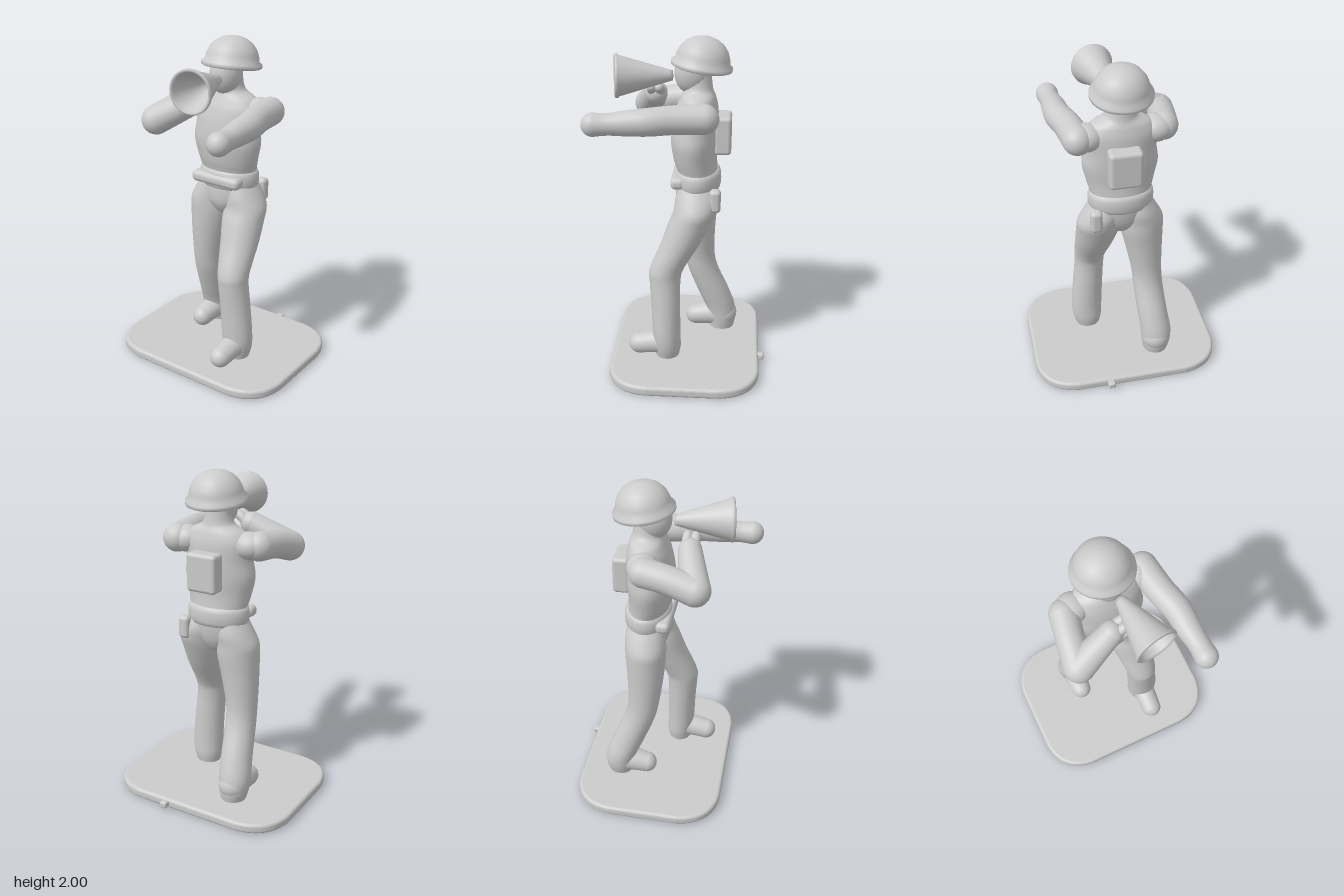
import * as THREE from 'three';
import { RoundedBoxGeometry } from 'three/addons/geometries/RoundedBoxGeometry.js';

const mat = new THREE.MeshStandardMaterial({ color: 0xcccccc });
const matDouble = new THREE.MeshStandardMaterial({ color: 0xcccccc, side: THREE.DoubleSide });

// Skin over rings of vertices; ring(u) gives centre and two radius vectors
function skin(ring, rows, cols = 28) {
  const pos = [], idx = [];
  for (let i = 0; i <= rows; i++) {
    const { c, a, b } = ring(i / rows);
    for (let j = 0; j < cols; j++) {
      const t = (j / cols) * Math.PI * 2;
      const p = c.clone().addScaledVector(a, Math.cos(t)).addScaledVector(b, Math.sin(t));
      pos.push(p.x, p.y, p.z);
      if (i < rows) {
        const k = i * cols + j, n = i * cols + (j + 1) % cols;
        idx.push(k, n, k + cols, n, n + cols, k + cols);
      }
    }
  }
  const g = new THREE.BufferGeometry();
  g.setAttribute('position', new THREE.Float32BufferAttribute(pos, 3));
  g.setIndex(idx);
  g.computeVertexNormals();
  return g;
}

// Horizontal elliptical sections [x, y, z, rx, rz], from the bottom up
function loft(sections) {
  const centre = new THREE.CatmullRomCurve3(sections.map(s => new THREE.Vector3(s[0], s[1], s[2])));
  const radii = new THREE.CatmullRomCurve3(sections.map(s => new THREE.Vector3(s[3], s[1], s[4])));
  return skin(u => {
    const r = radii.getPoint(u);
    return { c: centre.getPoint(u), a: new THREE.Vector3(r.x, 0, 0), b: new THREE.Vector3(0, 0, -r.z) };
  }, (sections.length - 1) * 5);
}

// Round limb through [x, y, z, radius] with ball ends
function limb(name, pts) {
  const group = new THREE.Group();
  group.name = name;
  const path = new THREE.CatmullRomCurve3(pts.map(p => new THREE.Vector3(p[0], p[1], p[2])));
  const radii = new THREE.CatmullRomCurve3(pts.map((p, i) => new THREE.Vector3(p[3], i, 0)));
  const side = new THREE.Vector3(0, 1, 0);
  add(group, name + 'Skin', skin(u => {
    const t = path.getTangent(u), r = radii.getPoint(u).x;
    side.addScaledVector(t, -side.dot(t)).normalize();
    return { c: path.getPoint(u), a: side.clone().multiplyScalar(r), b: t.cross(side).multiplyScalar(r) };
  }, (pts.length - 1) * 6));
  for (const p of [pts[0], pts[pts.length - 1]]) ball(group, name + 'End', p, [p[3], p[3], p[3]]);
  return group;
}

function add(parent, name, geometry, at = [0, 0, 0], material = mat) {
  const m = new THREE.Mesh(geometry, material);
  m.name = name;
  m.position.set(...at);
  parent.add(m);
  return m;
}

function ball(parent, name, at, size) {
  add(parent, name, new THREE.SphereGeometry(1, 28, 18), at.slice(0, 3)).scale.set(...size);
}

function box(parent, name, at, size, r) {
  add(parent, name, new RoundedBoxGeometry(...size, 4, r), at);
}

// Turned profile of [radius, height] points
function lathe(points) {
  return new THREE.LatheGeometry(points.map(p => new THREE.Vector2(...p)), 40);
}

export function createModel() {
  const model = new THREE.Group();
  model.name = 'soldier';

  // Base plate with rounded corners and a small moulding nub
  const w = 0.56, d = 0.4325, r = 0.22, s = new THREE.Shape();
  s.moveTo(-w + r, -d);
  s.lineTo(w - r, -d).quadraticCurveTo(w - 0.02, -d + 0.02, w, -d + r);
  s.lineTo(w, d - r).quadraticCurveTo(w - 0.02, d - 0.02, w - r, d);
  s.lineTo(-w + r, d).quadraticCurveTo(-w + 0.02, d - 0.02, -w, d - r);
  s.lineTo(-w, -d + r).quadraticCurveTo(-w + 0.02, -d + 0.02, -w + r, -d);
  const plate = new THREE.ExtrudeGeometry(s, {
    depth: 0.021, bevelThickness: 0.02, bevelSize: 0.02, bevelSegments: 5, curveSegments: 12,
  });
  plate.rotateX(-Math.PI / 2);
  add(model, 'base', plate, [0, 0.02, -0.0425]);
  box(model, 'baseNub', [0.14, 0.032, -0.495], [0.045, 0.04, 0.07], 0.012);

  // Legs: the left one forward, the right one trailing
  add(model, 'leftLeg', loft([
    [0.185, 0.05, 0.07, 0.075, 0.07], [0.188, 0.12, 0.07, 0.092, 0.082], [0.19, 0.2, 0.075, 0.098, 0.085],
    [0.178, 0.4, 0.08, 0.095, 0.088], [0.165, 0.56, 0.085, 0.092, 0.094], [0.162, 0.62, 0.08, 0.095, 0.1],
    [0.144, 0.8, -0.008, 0.117, 0.116], [0.131, 0.93, -0.062, 0.129, 0.125], [0.129, 1.0, -0.09, 0.128, 0.125],
    [0.113, 1.07, -0.1, 0.11, 0.125], [0.1, 1.14, -0.1, 0.08, 0.105],
  ]));
  add(model, 'rightLeg', loft([
    [-0.195, 0.05, -0.255, 0.075, 0.078], [-0.2, 0.12, -0.255, 0.09, 0.09], [-0.2, 0.2, -0.245, 0.096, 0.095],
    [-0.186, 0.32, -0.2, 0.094, 0.1], [-0.17, 0.5, -0.128, 0.092, 0.095], [-0.164, 0.6, -0.107, 0.094, 0.095],
    [-0.144, 0.8, -0.095, 0.115, 0.11], [-0.131, 0.93, -0.095, 0.129, 0.12], [-0.129, 1.0, -0.095, 0.128, 0.122],
    [-0.113, 1.07, -0.1, 0.11, 0.12], [-0.1, 1.14, -0.1, 0.08, 0.105],
  ]));
  model.add(limb('leftBoot', [[0.188, 0.145, 0.07, 0.082], [0.188, 0.14, 0.15, 0.07], [0.185, 0.125, 0.245, 0.064]]));
  model.add(limb('rightBoot', [[-0.198, 0.15, -0.262, 0.09], [-0.2, 0.14, -0.18, 0.075], [-0.2, 0.125, -0.085, 0.064]]));

  // Torso, neck and head
  add(model, 'torso', loft([
    [0, 0.92, -0.09, 0.01, 0.02], [0, 0.95, -0.09, 0.07, 0.075], [0, 1.02, -0.09, 0.15, 0.115],
    [0, 1.1, -0.095, 0.182, 0.125], [0, 1.2, -0.1, 0.178, 0.12], [0, 1.29, -0.085, 0.198, 0.128],
    [0, 1.4, -0.08, 0.22, 0.138], [0, 1.5, -0.085, 0.208, 0.135], [0, 1.6, -0.095, 0.21, 0.12],
    [0, 1.66, -0.1, 0.17, 0.1], [0, 1.7, -0.1, 0.095, 0.085], [0, 1.76, -0.095, 0.078, 0.082],
    [0, 1.85, -0.095, 0.07, 0.075],
  ]));
  ball(model, 'head', [0, 1.795, -0.065], [0.092, 0.125, 0.103]);

  // Belt with front and hip pouches
  const belt = lathe([[0.86, -0.058], [0.95, -0.053], [1, -0.03], [1.01, 0], [1, 0.03], [0.95, 0.053], [0.86, 0.058]]);
  add(model, 'belt', belt, [0, 1.17, -0.1]).scale.set(0.192, 1, 0.138);
  box(model, 'frontPouch', [-0.01, 1.168, 0.01], [0.34, 0.07, 0.085], 0.03);
  box(model, 'hipPouch', [0.165, 1.08, -0.21], [0.07, 0.14, 0.065], 0.025);

  // Backpack
  box(model, 'backpack', [0.005, 1.445, -0.245], [0.19, 0.225, 0.1], 0.022);

  // Left arm stretched forward with a cuff
  model.add(limb('leftArm', [
    [0.25, 1.592, -0.145, 0.084], [0.275, 1.592, 0.02, 0.081], [0.31, 1.587, 0.16, 0.078],
    [0.318, 1.58, 0.29, 0.07], [0.326, 1.575, 0.38, 0.061], [0.33, 1.573, 0.458, 0.066],
  ]));
  ball(model, 'leftShoulder', [0.2, 1.59, -0.12], [0.1, 0.08, 0.09]);

  // Right arm bent to hold the loudhailer
  model.add(limb('rightUpperArm', [
    [-0.25, 1.59, -0.075, 0.084], [-0.275, 1.575, 0.06, 0.08], [-0.295, 1.535, 0.215, 0.087],
  ]));
  model.add(limb('rightForearm', [
    [-0.295, 1.535, 0.215, 0.087], [-0.18, 1.598, 0.18, 0.077], [-0.075, 1.655, 0.15, 0.067],
  ]));
  ball(model, 'rightShoulder', [-0.2, 1.59, -0.09], [0.1, 0.08, 0.09]);
  for (const z of [0.125, 0.17]) {
    model.add(limb('finger', [[-0.06, 1.65, z, 0.03], [-0.03, 1.685, z, 0.029], [0, 1.705, z, 0.027]]));
  }

  // Loudhailer: open cone with a rolled rim
  const horn = lathe([
    [0, 0], [0.028, 0], [0.034, 0.02], [0.116, 0.305], [0.125, 0.312], [0.125, 0.326],
    [0.116, 0.332], [0.107, 0.322], [0.025, 0.06], [0, 0.055],
  ]);
  const hailer = add(model, 'loudhailer', horn, [0.018, 1.78, 0.045], matDouble);
  hailer.quaternion.setFromUnitVectors(new THREE.Vector3(0, 1, 0), new THREE.Vector3(0.17, 0.015, 0.98).normalize());

  // Helmet with a brim, tipped slightly back
  const shell = lathe([
    [0, 0.1], [0.09, 0.06], [0.14, 0.005], [0.165, -0.012], [0.176, -0.006], [0.177, 0.014], [0.158, 0.028],
    [0.152, 0.06], [0.138, 0.095], [0.11, 0.13], [0.075, 0.152], [0.035, 0.165], [0, 0.168],
  ]);
  add(model, 'helmet', shell, [0, 1.833, -0.118], matDouble).rotation.x = -0.15;

  return model;
}
